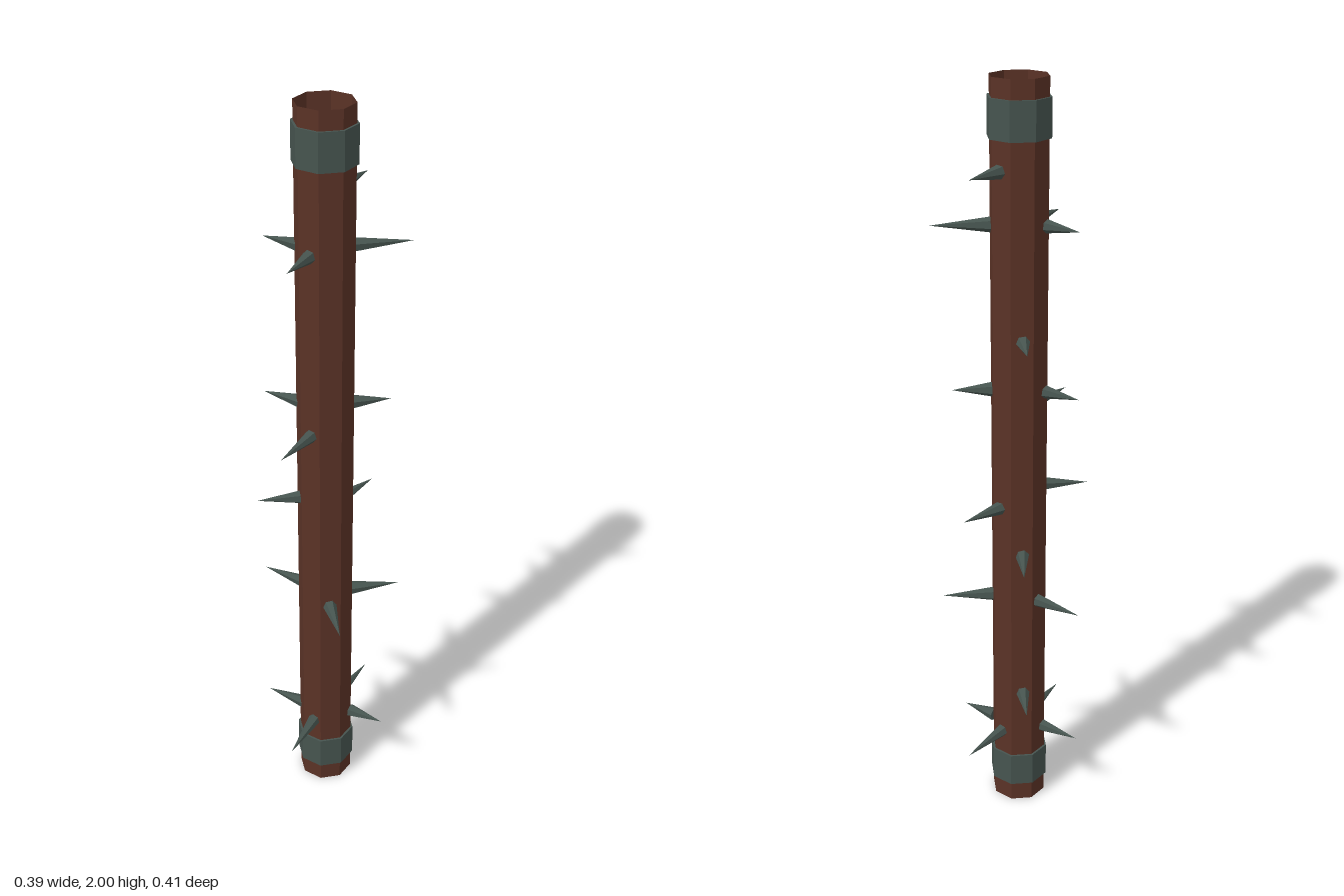
import * as THREE from 'three';

const CX = -0.009, CZ = -0.005; // axis of the pole

// Octagonal ring with inner and outer walls and flat rims
function ring(rIn, rOut, h) {
  const pts = [[rIn, 0], [rOut, 0], [rOut, h], [rIn, h], [rIn, 0]];
  return new THREE.LatheGeometry(pts.map(([r, y]) => new THREE.Vector2(r, y)), 8);
}

// Each spike: height, base x, base z, tip x, tip z
const SPIKES = [
  [1.785, 0.02, -0.06, 0.065, -0.165],
  [1.65, 0.055, -0.033, 0.193, -0.085],
  [1.65, -0.07, -0.008, -0.17, -0.045],
  [1.65, -0.032, 0.05, -0.066, 0.16],
  [1.37, -0.034, -0.06, -0.073, -0.158],
  [1.225, 0.055, -0.03, 0.15, -0.065],
  [1.225, -0.07, -0.008, -0.175, -0.043],
  [1.165, -0.03, 0.05, -0.083, 0.185],
  [0.955, -0.066, 0.02, -0.176, 0.062],
  [0.91, 0.02, -0.055, 0.09, -0.17],
  [0.78, -0.034, -0.06, -0.073, -0.18],
  [0.635, 0.055, -0.033, 0.182, -0.082],
  [0.635, -0.066, -0.034, -0.195, -0.085],
  [0.635, 0.014, 0.055, 0.065, 0.18],
  [0.355, -0.036, -0.06, -0.078, -0.17],
  [0.22, 0.065, 0.003, 0.16, 0.035],
  [0.22, -0.07, -0.008, -0.185, -0.048],
  [0.22, -0.026, 0.048, -0.066, 0.203],
  [0.22, 0.018, -0.055, 0.075, -0.207],
];

export function createModel() {
  const group = new THREE.Group();
  const wood = new THREE.MeshStandardMaterial({ color: 0x5a3226, flatShading: true, side: THREE.DoubleSide });
  const metal = new THREE.MeshStandardMaterial({ color: 0x46544f, flatShading: true, side: THREE.DoubleSide });

  // Hollow eight-sided pole, open at both ends
  const pole = new THREE.Mesh(new THREE.CylinderGeometry(0.074, 0.074, 2, 8, 1, true), wood);
  pole.name = 'pole';
  pole.position.set(CX, 1, CZ);
  group.add(pole);

  // Metal bands near the ends
  for (const [name, y] of [['lowerBand', 0.055], ['upperBand', 1.858]]) {
    const band = new THREE.Mesh(ring(0.071, 0.08, 0.095), metal);
    band.name = name;
    band.position.set(CX, y, CZ);
    group.add(band);
  }

  // Metal spikes driven through the wall
  const spikes = new THREE.Group();
  spikes.name = 'spikes';
  for (const [y, bx, bz, tx, tz] of SPIKES) {
    const base = new THREE.Vector3(bx, y, bz);
    const dir = new THREE.Vector3(tx, y, tz).sub(base);
    const length = dir.length();
    const geo = new THREE.ConeGeometry(0.019, length, 6).translate(0, length / 2, 0);
    const spike = new THREE.Mesh(geo, metal);
    spike.name = 'spike';
    spike.position.copy(base);
    spike.quaternion.setFromUnitVectors(new THREE.Vector3(0, 1, 0), dir.normalize());
    spikes.add(spike);
  }
  group.add(spikes);
  return group;
}
